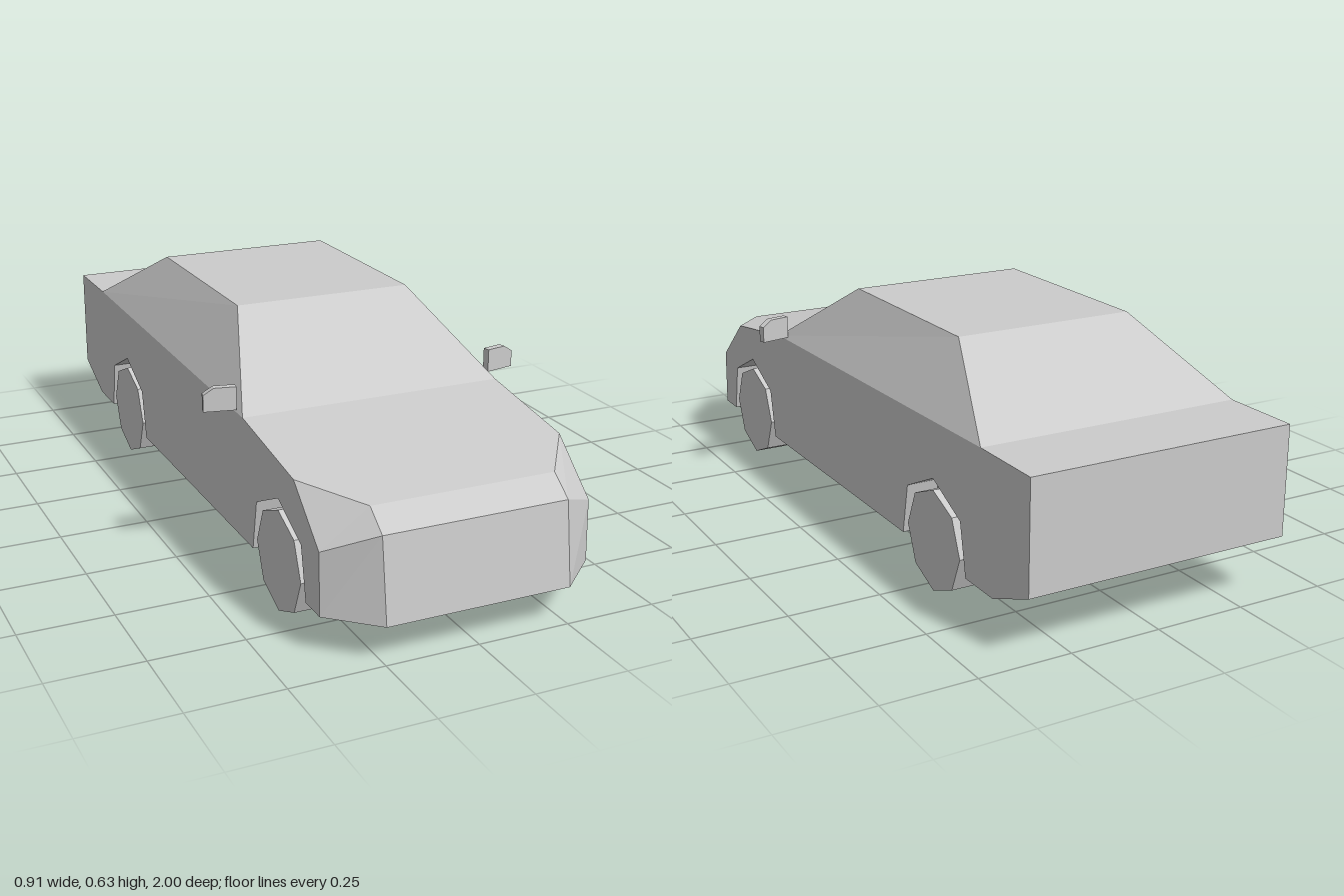
import * as THREE from 'three';

const material = new THREE.MeshStandardMaterial({ color: 0xcccccc, flatShading: true });
const HALF = 0.37;        // half width of the body
const NOSE = 0.25;        // half width of the flat nose panel
const WHEEL_W = 0.09;
const AXLES = [0.645, -0.545];

// Wheel arch outline, as [offset from the axle, y]
const ARCH = [[0.165, 0.1], [0.138, 0.24], [0, 0.305], [-0.138, 0.24], [-0.165, 0.1]];
const archPoints = (axle) => ARCH.map(([dz, y]) => [axle + dz, y]);

// Shared upper and rear outline, as [z, y]
const REAR = [[-0.84, 0.1], [-1, 0.165], [-1, 0.46], [-0.78, 0.46], [0.42, 0.437]];
// Front outline at the centre and at the chamfered corners, matching point for point
const FRONT_CENTRE = [[0.905, 0.368], [0.97, 0.32], [1.0, 0.1]];
const FRONT_SIDE = [[0.74, 0.391], [0.885, 0.265], [0.89, 0.1]];

function addMesh(parent, name, geometry) {
  const mesh = new THREE.Mesh(geometry, material);
  mesh.name = name;
  parent.add(mesh);
  return mesh;
}

// Extrudes a [z, y] outline across the car, between two x positions
function acrossCar(points, xMin, xMax) {
  const shape = new THREE.Shape(points.map(([z, y]) => new THREE.Vector2(z, y)));
  const geometry = new THREE.ExtrudeGeometry(shape, { depth: xMax - xMin, bevelEnabled: false });
  return geometry.rotateY(-Math.PI / 2).translate(xMax, 0, 0);
}

// Side slab with wheel arches; its inner front edge is pulled out to meet the nose
function bodySide(side) {
  const outline = [...REAR, ...FRONT_SIDE, ...AXLES.flatMap(archPoints)];
  const xs = [side * NOSE, side * HALF].sort((a, b) => a - b);
  const geometry = acrossCar(outline, xs[0], xs[1]);
  const p = geometry.attributes.position;
  for (let i = 0; i < p.count; i++) {
    if (Math.abs(p.getX(i)) > NOSE + 0.01) continue;
    const k = FRONT_SIDE.findIndex(([z, y]) => Math.hypot(p.getZ(i) - z, p.getY(i) - y) < 0.001);
    if (k >= 0) {
      p.setZ(i, FRONT_CENTRE[k][0]);
      p.setY(i, FRONT_CENTRE[k][1]);
    }
  }
  geometry.computeVertexNormals();
  return geometry;
}

// Tapered cabin: a box whose corners move to the beltline and the roof
function cabin() {
  const geometry = new THREE.BoxGeometry(2, 2, 2).toNonIndexed();
  const p = geometry.attributes.position;
  for (let i = 0; i < p.count; i++) {
    const top = p.getY(i) > 0;
    const front = p.getZ(i) > 0;
    p.setXYZ(
      i,
      p.getX(i) * (top ? 0.255 : HALF),
      top ? 0.635 : front ? 0.437 : 0.46,
      top ? (front ? 0.105 : -0.47) : (front ? 0.42 : -0.78)
    );
  }
  geometry.computeVertexNormals();
  return geometry;
}

// Door mirror housing with a clipped outer top corner
function mirror(side) {
  const outline = [[0, 0.445], [0.086, 0.445], [0.086, 0.49], [0.058, 0.508], [0, 0.508]];
  const shape = new THREE.Shape(outline.map(([x, y]) => new THREE.Vector2(side * x, y)));
  return new THREE.ExtrudeGeometry(shape, { depth: 0.02, bevelEnabled: false }).translate(0, 0, -0.01);
}

export function createModel() {
  const car = new THREE.Group();
  car.name = 'car';

  // Body
  const body = new THREE.Group();
  body.name = 'body';
  car.add(body);
  addMesh(body, 'bodyCentre', acrossCar([...REAR, ...FRONT_CENTRE], -NOSE, NOSE));
  addMesh(body, 'cabin', cabin());

  for (const side of [1, -1]) {
    const label = side > 0 ? 'left' : 'right';
    addMesh(body, label + 'BodySide', bodySide(side));

    // Door mirror, angled slightly back
    const door = addMesh(car, label + 'Mirror', mirror(side));
    door.position.set(side * 0.368, 0, 0.371);
    door.rotation.y = side * 0.21;

    AXLES.forEach((axle, i) => {
      const end = i === 0 ? 'Front' : 'Rear';
      // Inner wall of the wheel well
      const xs = [side * NOSE, side * (HALF - WHEEL_W)].sort((a, b) => a - b);
      addMesh(body, label + end + 'WheelWell', acrossCar(archPoints(axle), xs[0], xs[1]));
      // Eight-sided wheel standing on a corner
      const geometry = new THREE.CylinderGeometry(0.137, 0.137, WHEEL_W, 8).rotateZ(Math.PI / 2);
      const wheel = addMesh(car, label + end + 'Wheel', geometry);
      wheel.position.set(side * (HALF - WHEEL_W / 2), 0.137, axle);
    });
  }
  return car;
}
